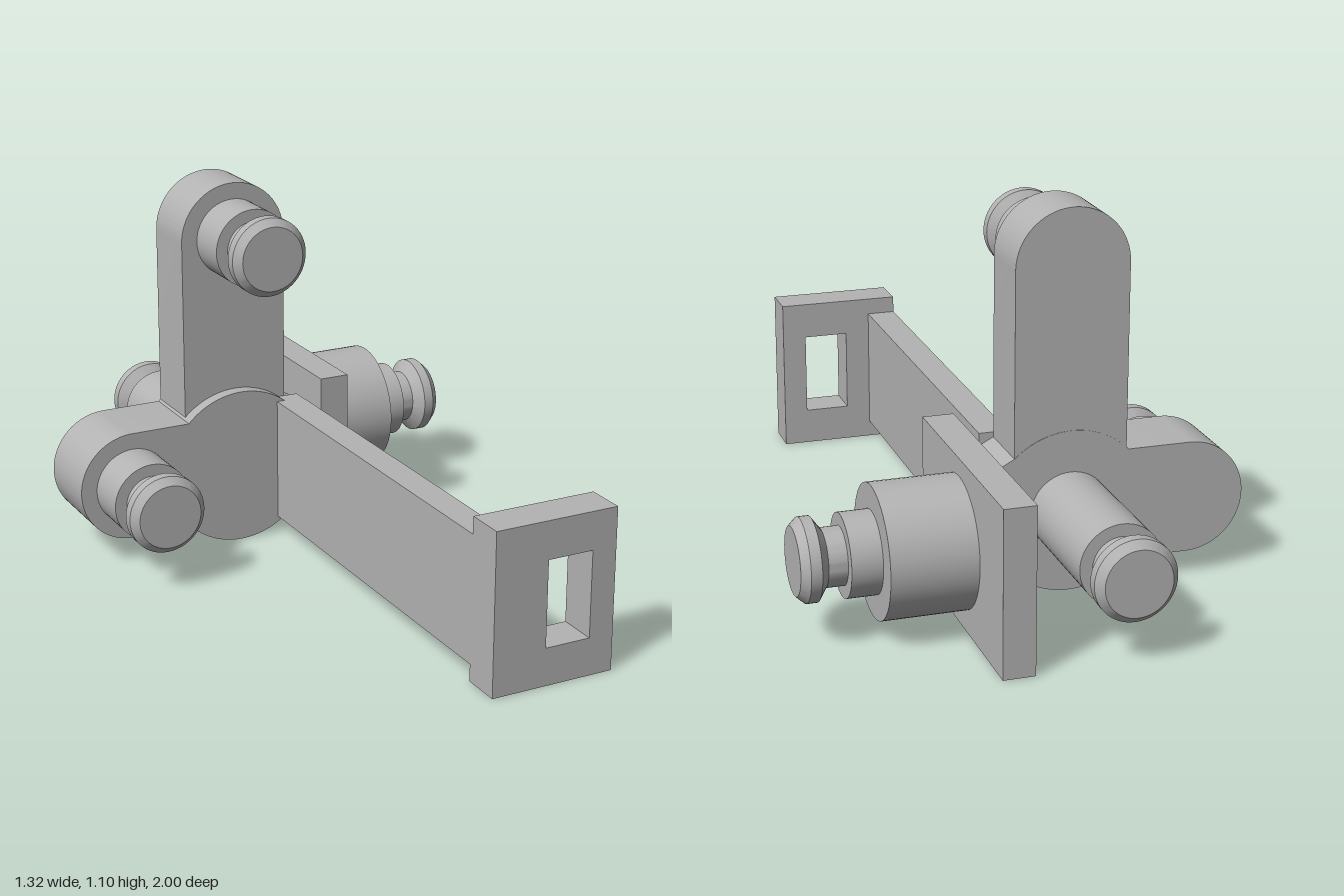
import * as THREE from 'three';
import { toCreasedNormals } from 'three/addons/utils/BufferGeometryUtils.js';

const AXIS_Y = 0.235; // height of the hub and the low pegs
const HUB_X = -0.15;
const ARM_R = 0.163;
const PEG_R = 0.115;

export function createModel() {
  const model = new THREE.Group();
  const grey = new THREE.MeshStandardMaterial({ color: 0xb3b3b3 });
  grey.name = 'plain grey';

  function add(name, geometry, parent = model) {
    const mesh = new THREE.Mesh(geometry, grey);
    mesh.name = name;
    parent.add(mesh);
    return mesh;
  }

  // Box given by its limits on each axis
  function box(name, [x0, x1], [y0, y1], [z0, z1]) {
    const mesh = add(name, new THREE.BoxGeometry(x1 - x0, y1 - y0, z1 - z0));
    mesh.position.set((x0 + x1) / 2, (y0 + y1) / 2, (z0 + z1) / 2);
    return mesh;
  }

  // Outline in the xy plane pulled from z0 to z1
  function slab(name, shape, z0, z1) {
    const g = new THREE.ExtrudeGeometry(shape, { depth: z1 - z0, bevelEnabled: false, curveSegments: 40 });
    g.translate(0, 0, z0);
    return add(name, toCreasedNormals(g, 0.5));
  }

  function lathe(profile) {
    const points = profile.map(([r, y]) => new THREE.Vector2(r, y));
    return toCreasedNormals(new THREE.LatheGeometry(points, 56), 0.4);
  }

  // Peg along +y: shank, narrow neck and chamfered head
  function pegGeometry(shank) {
    return lathe([
      [0, 0], [PEG_R, 0], [PEG_R, shank], [0.08, shank], [0.08, shank + 0.052],
      [PEG_R, shank + 0.077], [PEG_R, shank + 0.107], [0.094, shank + 0.13], [0, shank + 0.13],
    ]);
  }

  function peg(name, shank, position, direction) {
    const mesh = add(name, pegGeometry(shank));
    mesh.position.set(...position);
    mesh.quaternion.setFromUnitVectors(new THREE.Vector3(0, 1, 0), new THREE.Vector3(...direction));
  }

  // Hub disc with a round-ended side arm and a short tapered neck to the side plate
  const hubR = 0.235;
  const a = Math.asin(ARM_R / hubR);
  const b = Math.acos(0.16 / hubR);
  const hub = new THREE.Shape();
  hub.absarc(-0.5, AXIS_Y, ARM_R, Math.PI / 2, Math.PI * 1.5, false);
  hub.absarc(HUB_X, AXIS_Y, hubR, Math.PI + a, Math.PI * 2 - b, false);
  hub.lineTo(0.118, 0.12);
  hub.lineTo(0.118, 0.35);
  hub.absarc(HUB_X, AXIS_Y, hubR, b, Math.PI - a, false);
  hub.closePath();
  slab('hubAndSideArm', hub, -0.48, -0.255);

  // Upright arm with a round top
  const upright = new THREE.Shape();
  upright.moveTo(HUB_X - ARM_R, AXIS_Y);
  upright.lineTo(HUB_X + ARM_R, AXIS_Y);
  upright.absarc(HUB_X, 0.935, ARM_R, 0, Math.PI, false);
  upright.closePath();
  slab('uprightArm', upright, -0.479, -0.295);

  // Pegs on the arms and behind the hub
  peg('upperPeg', 0.135, [HUB_X, 0.935, -0.295], [0, 0, 1]);
  peg('sideArmPeg', 0.14, [-0.5, AXIS_Y, -0.255], [0, 0, 1]);
  peg('backPeg', 0.39, [HUB_X, AXIS_Y, -0.48], [0, 0, -1]);

  // Side plate with its thick boss and peg
  box('sidePlate', [0.115, 0.205], [0, 0.47], [-0.965, -0.25]);
  const boss = add('sideBoss', new THREE.CylinderGeometry(0.185, 0.185, 0.24, 56));
  boss.rotation.z = -Math.PI / 2;
  boss.position.set(0.325, AXIS_Y, -0.59);
  peg('sidePeg', 0.085, [0.445, AXIS_Y, -0.59], [1, 0, 0]);

  // Long beam reaching forward
  box('beam', [-0.03, 0.055], [0.05, 0.42], [-0.295, 0.886]);

  // Front plate with an upright slot
  const plate = new THREE.Shape();
  plate.moveTo(-0.03, 0).lineTo(0.338, 0).lineTo(0.338, 0.47).lineTo(-0.03, 0.47).closePath();
  const slot = new THREE.Path();
  slot.moveTo(0.13, 0.11).lineTo(0.13, 0.36).lineTo(0.265, 0.36).lineTo(0.265, 0.11).closePath();
  plate.holes.push(slot);
  slab('frontPlate', plate, 0.885, 1);

  return model;
}
